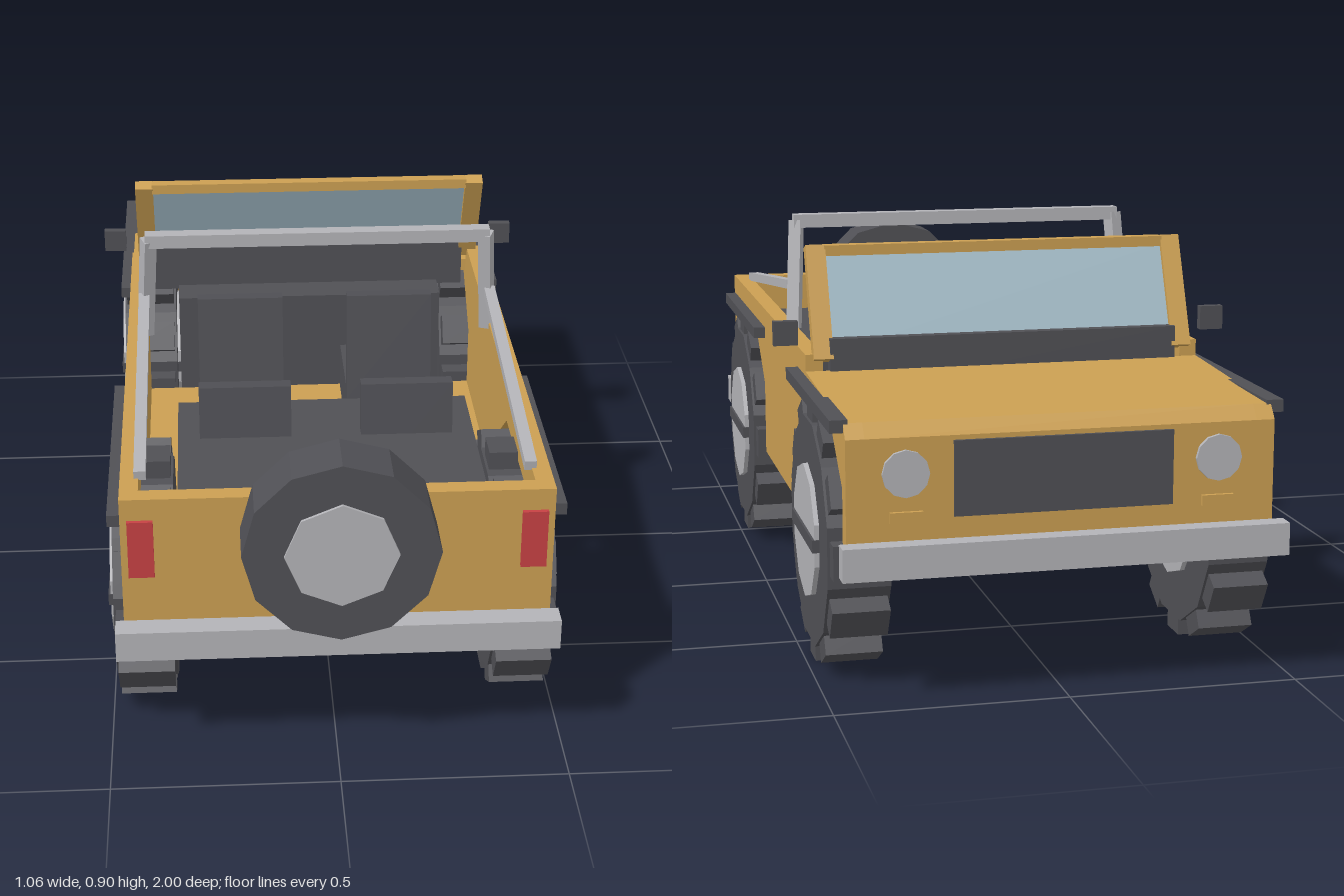
import * as THREE from 'three';

const mat = (name, color) => {
  const m = new THREE.MeshStandardMaterial({ color });
  m.name = name;
  return m;
};

export function createModel() {
  const gold = mat('gold paint', 0xcb9f52), dark = mat('dark rubber', 0x505055);
  const silver = mat('silver metal', 0xb3b3b7), red = mat('red lens', 0xc64143);
  const glass = mat('blue glass', 0xa3bcc8);
  const car = new THREE.Group();
  car.name = 'offRoadCar';

  const add = (name, geo, m, parent = car) => {
    const mesh = new THREE.Mesh(geo, m);
    mesh.name = name;
    parent.add(mesh);
    return mesh;
  };
  // box given by its limits on each axis
  const box = (name, m, [x0, x1], [y0, y1], [z0, z1], parent = car) => {
    const geo = new THREE.BoxGeometry(x1 - x0, y1 - y0, z1 - z0);
    geo.translate((x0 + x1) / 2, (y0 + y1) / 2, (z0 + z1) / 2);
    return add(name, geo, m, parent);
  };
  // faceted cylinder
  const disc = (r, len, sides) => {
    const geo = new THREE.CylinderGeometry(r, r, len, sides).toNonIndexed();
    geo.computeVertexNormals();
    return geo;
  };
  // side profile of [z, y] points, extruded between x0 and x1
  const profile = (name, m, pts, x0, x1) => {
    const shape = new THREE.Shape(pts.map(([z, y]) => new THREE.Vector2(z, y)));
    const geo = new THREE.ExtrudeGeometry(shape, { depth: x1 - x0, bevelEnabled: false });
    geo.rotateY(-Math.PI / 2).translate(x1, 0, 0);
    return add(name, geo, m);
  };
  // square bar between two points
  const beam = (name, m, a, b, w, h = w, parent = car) => {
    const p = new THREE.Vector3(...a), q = new THREE.Vector3(...b);
    const mesh = add(name, new THREE.BoxGeometry(w, h, p.distanceTo(q)), m, parent);
    mesh.position.copy(p).add(q).multiplyScalar(0.5);
    mesh.lookAt(q);
    return mesh;
  };

  // body sides with wheel arches
  const arch = c => [[c - 0.29, 0.27], [c - 0.29, 0.45], [c - 0.15, 0.56],
    [c + 0.15, 0.56], [c + 0.29, 0.45], [c + 0.29, 0.27]];
  const side = [[-0.925, 0.27], ...arch(-0.61), ...arch(0.55), [0.87, 0.27], [0.87, 0.645],
    [-0.43, 0.645], [-0.43, 0.607], [-0.75, 0.594], [-0.915, 0.59], [-0.94, 0.56], [-0.94, 0.3]];
  profile('leftSide', gold, side, 0.42, 0.46);
  profile('rightSide', gold, side, -0.46, -0.42);

  // hood and nose in one bent panel
  profile('hood', gold, [[-0.925, 0.27], [-0.9, 0.27], [-0.9, 0.565], [-0.43, 0.575], [-0.43, 0.607],
    [-0.75, 0.594], [-0.915, 0.59], [-0.94, 0.56], [-0.94, 0.3]], -0.42, 0.42);
  box('tailgate', gold, [-0.42, 0.42], [0.27, 0.645], [0.83, 0.87]);
  box('cabinFloor', gold, [-0.42, 0.42], [0.27, 0.3], [-0.32, 0.26]);
  box('engineBay', dark, [-0.34, 0.34], [0.272, 0.56], [-0.9, -0.32]);
  box('cargoBed', dark, [-0.34, 0.34], [0.272, 0.55], [0.25, 0.83]);
  box('dashboard', dark, [-0.405, 0.405], [0.55, 0.68], [-0.44, -0.405]);

  // windshield
  const lean = (x, t) => [x, 0.63 + 0.245 * t, -0.43 + 0.105 * t];
  for (const s of [-1, 1]) beam('windshieldPost', gold, lean(s * 0.42, 0), lean(s * 0.42, 1), 0.045, 0.03);
  beam('windshieldTop', gold, lean(-0.4, 0.965), lean(0.4, 0.965), 0.03, 0.024);
  const pane = add('windshieldGlass', new THREE.BoxGeometry(0.8, 0.235, 0.009), glass);
  pane.position.set(...lean(0, 0.49));
  pane.rotation.x = Math.atan2(0.105, 0.245);

  // seats, two rows of two
  for (const dz of [0, 0.485]) for (const x of [-0.185, 0.185]) {
    const seat = new THREE.Group();
    seat.name = 'seat';
    seat.position.set(x, 0, dz);
    car.add(seat);
    box('seatCushion', dark, [-0.105, 0.105], [0.3, 0.42], [-0.31, -0.05], seat);
    const back = add('seatBack', new THREE.BoxGeometry(0.21, 0.27, 0.042), dark, seat);
    back.position.set(0, 0.535, -0.072);
    back.rotation.x = -0.12;
  }

  // roll bar with rear braces
  for (const s of [-1, 1]) {
    beam('rollBarPost', silver, [s * 0.417, 0.63, 0.028], [s * 0.402, 0.89, 0.064], 0.03, 0.034);
    beam('rollBarBrace', silver, [s * 0.417, 0.735, 0.05], [s * 0.417, 0.652, 0.78], 0.026, 0.022);
  }
  box('rollBarTop', silver, [-0.41, 0.41], [0.873, 0.905], [0.046, 0.08]);

  // wheels: tyre, treads, rim and cross bar
  for (const s of [-1, 1]) for (const z of [-0.61, 0.55]) {
    const wheel = new THREE.Group();
    wheel.name = 'wheel';
    wheel.position.set(s * 0.418, 0.29, z);
    car.add(wheel);
    add('tyre', disc(0.255, 0.135, 12).rotateZ(Math.PI / 2).rotateX(Math.PI / 12), dark, wheel);
    add('rim', disc(0.15, 0.156, 10).rotateZ(Math.PI / 2).rotateX(Math.PI / 2), silver, wheel);
    box('rimBar', dark, [-0.083, 0.083], [-0.014, 0.014], [-0.145, 0.145], wheel);
    for (let i = 0; i < 12; i++) {
      const tread = new THREE.BoxGeometry(0.124, 0.06, 0.075);
      tread.translate(0, 0.259, 0).rotateX(i * Math.PI / 6);
      add('tread', tread, dark, wheel);
    }
  }

  // parts mirrored left and right
  for (const s of [-1, 1]) {
    const span = (a, b) => s > 0 ? [a, b] : [-b, -a];
    box('frontFender', dark, span(0.45, 0.488), [0.57, 0.597], [-0.917, -0.313]);
    box('rearFender', dark, span(0.45, 0.488), [0.57, 0.597], [0.245, 0.85]);
    box('mirror', dark, span(0.474, 0.529), [0.665, 0.72], [-0.417, -0.397]);
    box('tailLight', red, span(0.39, 0.445), [0.46, 0.595], [0.87, 0.879]);
    box('indicator', gold, span(0.3, 0.37), [0.382, 0.405], [-0.949, -0.94]);
    const lamp = add('headlight', disc(0.05, 0.012, 12).rotateX(Math.PI / 2), silver);
    lamp.position.set(s * 0.336, 0.485, -0.943);
  }
  box('grille', dark, [-0.235, 0.235], [0.39, 0.55], [-0.948, -0.94]);

  // bumpers
  box('frontBumper', silver, [-0.478, 0.478], [0.278, 0.348], [-1, -0.957]);
  box('frontBumperMount', dark, [-0.2, 0.2], [0.29, 0.335], [-0.957, -0.935]);
  box('rearBumper', silver, [-0.478, 0.478], [0.278, 0.348], [0.87, 0.922]);

  // spare wheel
  add('spareTyre', disc(0.208, 0.118, 12).rotateX(Math.PI / 2), dark).position.set(0, 0.573, 0.934);
  add('spareRim', disc(0.12, 0.13, 8).rotateX(Math.PI / 2), silver).position.set(0, 0.573, 0.935);

  return car;
}
